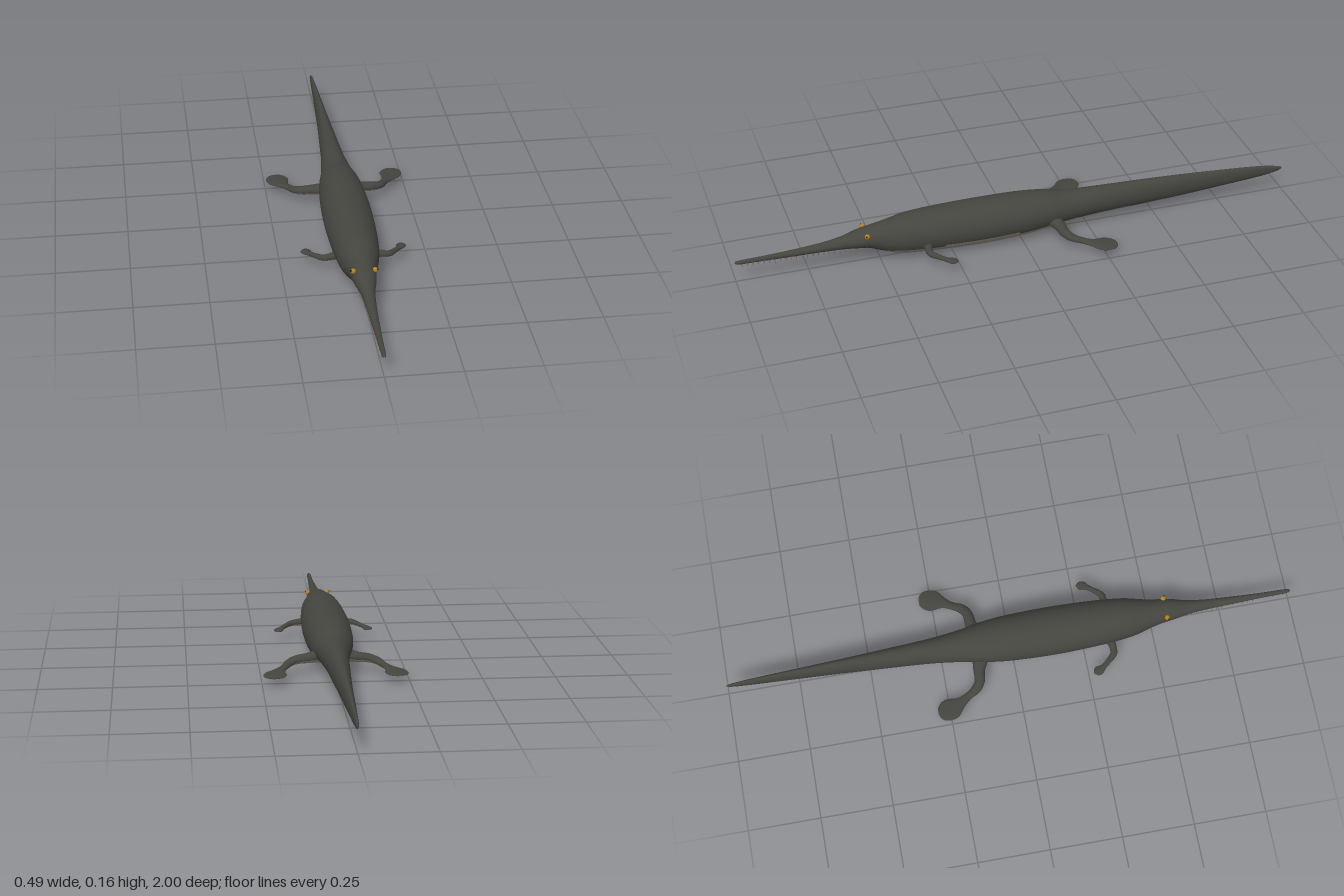
import * as THREE from 'three';

const mat = (name, color) => Object.assign(new THREE.MeshStandardMaterial({ color }), { name });

// Smooth skin through oval sections: [x, y, z, halfWidth, heightAbove, heightBelow].
// Faces accepted by isPale(centre, angle) go to the second material group.
function loft(sections, steps, sides, isPale) {
  const curve = (k) => new THREE.CatmullRomCurve3(
    sections.map((s) => new THREE.Vector3(s[k], s[k + 1], s[k + 2])), false, 'catmullrom', 0.5);
  const path = curve(0), size = curve(3);
  const pos = [], dark = [], pale = [], up = new THREE.Vector3(0, 1, 0);
  for (let i = 0; i <= steps; i++) {
    const c = path.getPoint(i / steps), r = size.getPoint(i / steps);
    const t = path.getTangent(i / steps).setY(0).normalize();
    const side = up.clone().cross(t);
    for (let j = 0; j < sides; j++) {
      const a = (j / sides) * Math.PI * 2, sn = Math.sin(a);
      const p = c.clone().addScaledVector(side, Math.cos(a) * Math.max(r.x, 0.0002));
      p.y += sn * Math.max(sn > 0 ? r.y : r.z, 0.0002);
      pos.push(p.x, p.y, p.z);
    }
  }
  for (let i = 0; i < steps; i++) {
    for (let j = 0; j < sides; j++) {
      const a = i * sides + j, b = i * sides + ((j + 1) % sides), c = a + sides, d = b + sides;
      const mid = new THREE.Vector3();
      [a, b, c, d].forEach((v) => mid.add(new THREE.Vector3().fromArray(pos, v * 3)));
      mid.multiplyScalar(0.25);
      const list = isPale(mid, ((j + 0.5) / sides) * Math.PI * 2) ? pale : dark;
      list.push(a, b, c, b, d, c);
    }
  }
  const g = new THREE.BufferGeometry();
  g.setAttribute('position', new THREE.Float32BufferAttribute(pos, 3));
  g.setIndex([...dark, ...pale]);
  g.addGroup(0, dark.length, 0);
  g.addGroup(dark.length, pale.length, 1);
  g.computeVertexNormals();
  return g;
}

export function createModel() {
  const model = new THREE.Group();
  model.name = 'swimmingReptile';
  const hide = mat('darkHide', 0x44453f), belly = mat('paleBelly', 0x8c8575);
  const amber = mat('amberEye', 0xb8801a), ivory = mat('tooth', 0x7d6a60);
  const pupilMat = mat('pupil', 0x15130f);
  const add = (name, geo, material, parent = model) => {
    const m = new THREE.Mesh(geo, material);
    m.name = name;
    parent.add(m);
    return m;
  };

  // Snout, head, trunk and tail: [z, half width, top, bottom]
  const profile = [
    [1, 0.001, 0.077, 0.073], [0.985, 0.007, 0.081, 0.068], [0.9, 0.009, 0.083, 0.066],
    [0.8, 0.013, 0.087, 0.064], [0.7, 0.018, 0.094, 0.063], [0.63, 0.025, 0.105, 0.061],
    [0.58, 0.036, 0.119, 0.058], [0.54, 0.042, 0.127, 0.053], [0.5, 0.048, 0.134, 0.036],
    [0.45, 0.061, 0.143, 0.018], [0.4, 0.071, 0.152, 0.011], [0.3, 0.08, 0.157, 0.005],
    [0.15, 0.085, 0.159, 0.001], [0, 0.081, 0.158, 0.005], [-0.1, 0.071, 0.15, 0.017],
    [-0.16, 0.059, 0.14, 0.025], [-0.22, 0.05, 0.136, 0.029], [-0.3, 0.041, 0.135, 0.032],
    [-0.45, 0.031, 0.132, 0.036], [-0.6, 0.022, 0.127, 0.042], [-0.8, 0.013, 0.115, 0.055],
    [-0.92, 0.008, 0.105, 0.064], [-0.98, 0.005, 0.094, 0.074], [-1, 0.001, 0.086, 0.082],
  ];
  const body = profile.map(([z, w, top, low]) =>
    [0, (top + low) / 2, z, w, (top - low) / 2, (top - low) / 2]);
  add('body', loft(body, 184, 48, (p) => p.y < 0.047 && p.z < 0.505 && p.z > -0.62), [hide, belly]);

  // Limbs: [x, y, z, half width, height above, height below], hip to paddle tip
  const foreLimb = [
    [0.055, 0.058, 0.34, 0.018, 0.018, 0.016], [0.085, 0.053, 0.347, 0.013, 0.013, 0.012],
    [0.112, 0.05, 0.345, 0.012, 0.011, 0.01], [0.132, 0.047, 0.325, 0.01, 0.009, 0.008],
    [0.15, 0.044, 0.303, 0.01, 0.007, 0.007], [0.16, 0.042, 0.287, 0.017, 0.006, 0.005],
    [0.164, 0.041, 0.273, 0.014, 0.005, 0.004], [0.166, 0.041, 0.264, 0.001, 0.001, 0.001],
  ];
  const hindLimb = [
    [0.045, 0.06, -0.115, 0.03, 0.022, 0.022], [0.085, 0.053, -0.127, 0.021, 0.018, 0.017],
    [0.125, 0.049, -0.132, 0.018, 0.016, 0.015], [0.152, 0.043, -0.15, 0.017, 0.013, 0.012],
    [0.17, 0.037, -0.18, 0.014, 0.01, 0.009], [0.187, 0.034, -0.208, 0.02, 0.008, 0.007],
    [0.202, 0.032, -0.24, 0.038, 0.006, 0.006], [0.21, 0.031, -0.268, 0.036, 0.005, 0.005],
    [0.214, 0.031, -0.287, 0.022, 0.003, 0.003], [0.215, 0.031, -0.293, 0.001, 0.001, 0.001],
  ];
  const under = (p, a) => Math.sin(a) < -0.3;
  for (const [label, s] of [['left', 1], ['right', -1]]) {
    const flip = (rows) => rows.map(([x, ...rest]) => [x * s, ...rest]);
    add(label + 'ForeLimb', loft(flip(foreLimb), 42, 16, under), [hide, belly]);
    add(label + 'HindLimb', loft(flip(hindLimb), 54, 20, under), [hide, belly]);

    // Eye with a small pupil
    const eye = add(label + 'Eye', new THREE.SphereGeometry(0.009, 16, 12), amber);
    eye.position.set(0.036 * s, 0.113, 0.548);
    const pupil = add(label + 'Pupil', new THREE.SphereGeometry(0.003, 10, 8), pupilMat);
    pupil.position.set(0.0435 * s, 0.1165, 0.5515);

    // Needle teeth along the jaw
    const teeth = new THREE.Group();
    teeth.name = label + 'Teeth';
    model.add(teeth);
    for (let i = 0; i < 22; i++) {
      const z = 0.975 - i * 0.0185, f = (0.975 - z) / 0.4;
      const length = i % 2 ? 0.015 : 0.019;
      const tooth = add('tooth', new THREE.ConeGeometry(0.0022, length, 6), ivory, teeth);
      tooth.rotation.x = Math.PI;
      tooth.position.set(s * (0.005 + 0.011 * f + 0.008 * f * f), 0.071 - 0.003 * f - length / 2, z);
    }
  }
  return model;
}
